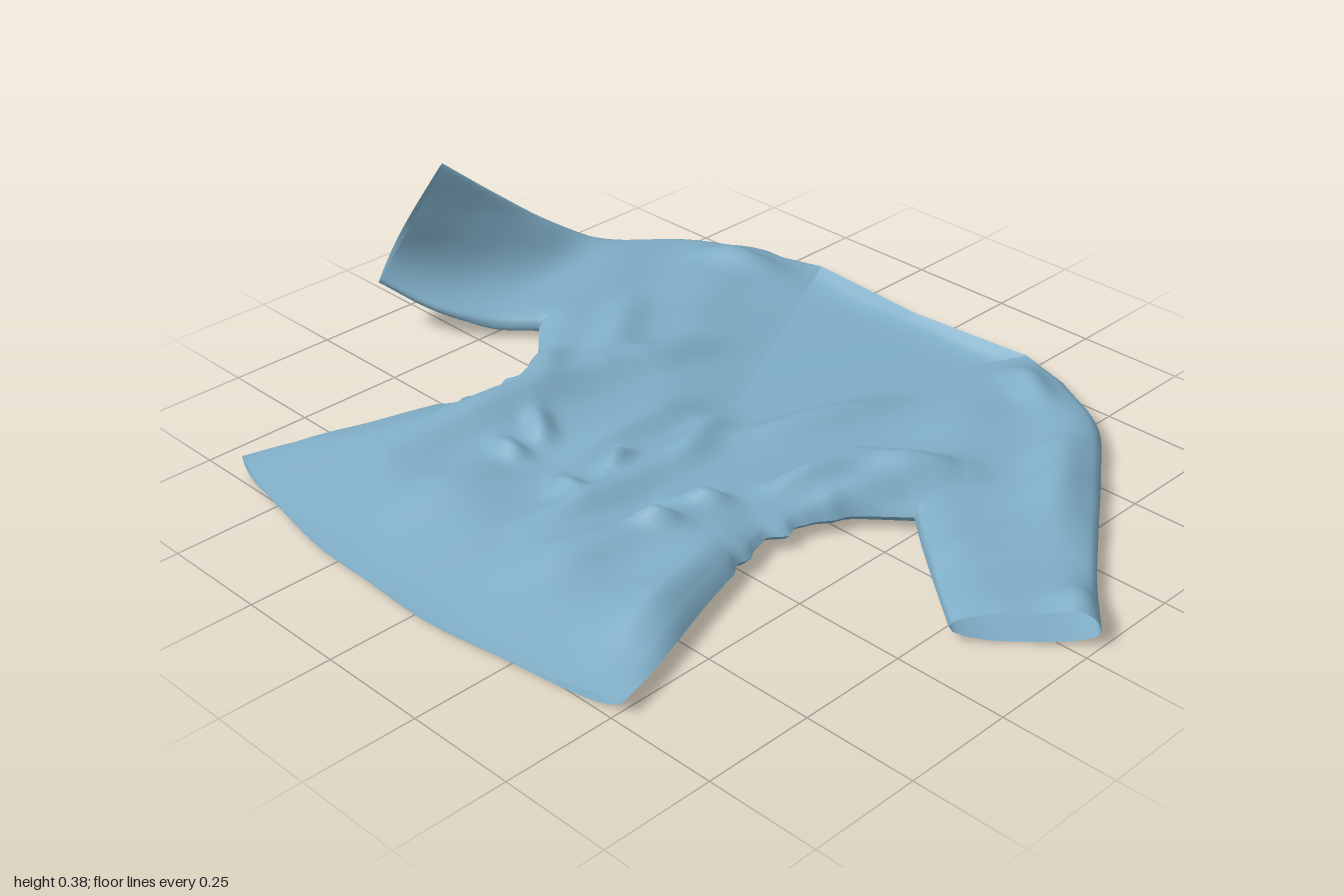
import * as THREE from 'three';
import { mergeGeometries, mergeVertices } from 'three/addons/utils/BufferGeometryUtils.js';

const CENTER = -0.08;   // garment's own centre line
const SEAM_Y = 0.035;   // height at which front and back cloth meet
const { lerp, clamp, smoothstep } = THREE.MathUtils;
const curve = (pts) => new THREE.CatmullRomCurve3(pts.map((p) => new THREE.Vector3(...p)));
const flat = (pts) => curve(pts.map(([x, z]) => [x, 0, z]));

// Half pattern, laid flat, measured from the centre line
const sleeveOuter = flat([[0.45, -0.75], [0.62, -0.65], [0.74, -0.5], [0.86, -0.33], [0.975, -0.17], [1.075, -0.05]]);
const sleeveInner = flat([[0.57, -0.1], [0.65, -0.03], [0.76, 0.06], [0.86, 0.14]]);
const sideSeam = flat([[0.57, -0.1], [0.47, 0], [0.43, 0.1], [0.42, 0.2], [0.455, 0.31],
  [0.49, 0.42], [0.53, 0.53], [0.565, 0.63], [0.59, 0.72]]);
const neckPoint = new THREE.Vector3(0.315, 0, -0.793);
const NECK_BACK_Z = -0.77, NECK_TIP_Z = -0.17;

// The raised sleeve's edges in space
const raisedOuter = curve([[-0.53, SEAM_Y, -0.75], [-0.69, 0.05, -0.64], [-0.8, 0.07, -0.48],
  [-0.87, 0.15, -0.34], [-0.9, 0.26, -0.2], [-0.91, 0.385, -0.05]]);
const raisedInner = curve([[-0.65, SEAM_Y, -0.1], [-0.74, 0.035, -0.02], [-0.84, 0.07, 0.06], [-0.945, 0.13, 0.13]]);

function sidePoint(t) {
  const p = sideSeam.getPoint(t);
  p.x += 0.008 * (Math.sin(p.z * 62) + 0.6 * Math.sin(p.z * 109)) *
    smoothstep(p.z, -0.05, 0.08) * (1 - smoothstep(p.z, 0.22, 0.36));
  return p;
}

// Distance to a segment and the position along it
function toSegment(x, z, x1, z1, x2, z2) {
  const dx = x2 - x1, dz = z2 - z1;
  const t = clamp(((x - x1) * dx + (z - z1) * dz) / (dx * dx + dz * dz), 0, 1);
  return [Math.hypot(x - x1 - t * dx, z - z1 - t * dz), t];
}

// Closed edges, towards which the cloth is rounded
const seams = [];
function addSeam(count, point) {
  for (let i = 0; i < count; i++) {
    const a = point(i / count), b = point((i + 1) / count);
    seams.push([a.x, a.z, b.x, b.z]);
  }
}
addSeam(40, (t) => sleeveOuter.getPoint(t));
addSeam(40, (t) => sleeveInner.getPoint(t));
addSeam(60, sidePoint);
addSeam(1, (t) => neckPoint.clone().lerp(sleeveOuter.getPoint(0), t));
addSeam(1, (t) => new THREE.Vector3(0, 0, NECK_BACK_Z).lerp(neckPoint, t));
function roundness(u, z) {
  let d = 1;
  for (const s of seams) d = Math.min(d, toSegment(u, z, ...s)[0]);
  const radius = 0.08 + 0.05 * Math.exp(-(((z - 0.12) / 0.15) ** 2));   // softer at the waist
  const k = 1 - Math.min(d / radius, 1);
  return Math.sqrt(Math.max(0, 1 - k * k));
}

// Fold ridges: x1, z1, x2, z2, height, width
const folds = [
  [-0.26, -0.36, -0.34, -0.05, 0.03, 0.045], [-0.34, -0.1, -0.42, 0.5, 0.06, 0.065],
  [-0.12, -0.12, -0.14, 0.3, 0.025, 0.04], [-0.05, -0.1, 0.04, 0.12, 0.025, 0.035],
  [0.04, 0.05, 0, 0.5, 0.025, 0.04], [0.17, -0.38, 0.08, -0.05, 0.025, 0.05],
  [0.22, 0.1, 0.12, 0.6, 0.025, 0.05], [0.48, -0.26, 0.28, -0.1, 0.045, 0.045],
  [0.31, -0.16, 0.26, 0.1, 0.045, 0.04], [0.42, -0.14, 0.33, 0.08, 0.035, 0.035],
  [-0.56, -0.32, -0.38, -0.06, 0.025, 0.05], [-0.52, -0.02, -0.38, 0.14, 0.03, 0.04],
  [0.32, 0.25, 0.38, 0.65, 0.025, 0.045], [-0.22, 0.4, -0.24, 0.7, 0.015, 0.05],
  [0.24, -0.72, 0.44, -0.6, 0.03, 0.04], [-0.38, -0.7, -0.6, -0.6, 0.03, 0.04],
  [0.53, -0.54, 0.74, -0.22, 0.02, 0.05], [0.9, -0.1, 1, -0.03, 0.035, 0.06],
  // gathered pinches at the waist
  [-0.31, 0.21, -0.21, 0.27, 0.03, 0.025], [-0.29, 0.34, -0.19, 0.34, 0.03, 0.022],
  [-0.07, 0.17, -0.03, 0.26, 0.03, 0.022], [-0.09, 0.35, -0.01, 0.36, 0.035, 0.025],
  [0.13, 0.23, 0.24, 0.17, 0.03, 0.022], [0.13, 0.35, 0.23, 0.3, 0.03, 0.022],
];
function wrinkle(x, z) {
  let h = 0.004 * Math.sin(x * 23 + 2 * Math.sin(z * 7)) + 0.003 * Math.sin(z * 19 + x * 31 + 2 * Math.sin(x * 11));
  for (const [x1, z1, x2, z2, height, width] of folds) {
    const [d, t] = toSegment(x, z, x1, z1, x2, z2);
    h += height * (0.25 + 0.75 * Math.sin(Math.PI * t)) * Math.exp(-((d / width) ** 2));
  }
  return Math.min(h, 0.065);
}

// Height of the upper or lower cloth above the seam level
function offset(side, u, z, top) {
  const f = roundness(u, z);
  const x = CENTER + side * u;
  if (!top) return -f * (SEAM_Y - 0.007 + 0.004 * Math.sin(x * 17 + z * 9));
  const hem = smoothstep(z, 0.5, 0.82);
  const neck = toSegment(u, z, neckPoint.x, neckPoint.z, 0, NECK_TIP_Z)[0];
  const free = smoothstep(neck, -0.04, 0.2);   // the neckline lies close to the back
  return f * (lerp(lerp(-0.005, 0.03, free), -0.022, hem) + wrinkle(x, z) * free * (1 - 0.75 * hem));
}

// Grid patch: column parameter a, row parameter b
function patch(cols, rows, point, flip) {
  const pos = [], index = [];
  for (let j = 0; j <= rows; j++)
    for (let i = 0; i <= cols; i++) pos.push(...point(i / cols, j / rows).toArray());
  for (let j = 0; j < rows; j++)
    for (let i = 0; i < cols; i++) {
      const a = j * (cols + 1) + i, b = a + 1, c = a + cols + 1, d = c + 1;
      index.push(...(flip ? [a, b, c, b, d, c] : [a, c, b, b, c, d]));
    }
  const g = new THREE.BufferGeometry();
  g.setAttribute('position', new THREE.Float32BufferAttribute(pos, 3));
  g.setIndex(index);
  return g;
}

// Half of the front (with V neck) or of the back
const SPLIT = 0.4;   // share of the rows above the armpit
function torsoHalf(side, top) {
  const shoulder = sleeveOuter.getPoint(0), armpit = sleeveInner.getPoint(0);
  const neckShare = neckPoint.x / shoulder.x;
  return patch(40, 100, (s, v) => {
    const upper = Math.min(v / SPLIT, 1), lower = Math.max((v - SPLIT) / (1 - SPLIT), 0);
    const outer = v <= SPLIT ? shoulder.clone().lerp(armpit, upper) : sidePoint(lower);
    const inner = new THREE.Vector3(0, 0, lerp(lerp(top ? neckPoint.z : NECK_BACK_Z, NECK_TIP_Z, upper), 0.8, lower));
    if (top) inner.x = neckPoint.x * (1 - upper);
    const p = inner.lerp(outer, s);
    p.z += 0.08 * (s - s * s) * v ** 4;
    if (!top) {   // back neckline runs up to the neck point, then along the shoulder
      const edge = s < neckShare ? lerp(NECK_BACK_Z, neckPoint.z, s / neckShare)
        : lerp(neckPoint.z, shoulder.z, (s - neckShare) / (1 - neckShare));
      p.z += (edge - lerp(NECK_BACK_Z, shoulder.z, s)) * (1 - upper) ** 3;
    }
    return new THREE.Vector3(CENTER + side * p.x, SEAM_Y + offset(side, p.x, p.z, top), p.z);
  }, (side > 0) !== top);
}

// One cloth layer of a sleeve; the right one is lifted off the ground
function sleeveLayer(side, top) {
  const up = new THREE.Vector3(0, 1, 0), turned = new THREE.Vector3(0.8, 0.29, 0.53);
  return patch(40, 40, (t, s) => {
    const p = sleeveOuter.getPoint(t).lerp(sleeveInner.getPoint(t), s);
    const h = offset(side, p.x, p.z, top);
    if (side > 0) return new THREE.Vector3(CENTER + p.x, SEAM_Y + h, p.z);
    const k = smoothstep(t, 0.15, 0.9);
    const n = up.clone().lerp(turned, k).normalize();
    const q = raisedOuter.getPoint(t).lerp(raisedInner.getPoint(t), s);
    q.addScaledVector(n, h - (top ? 0.015 : 0.045) * k * Math.sin(Math.PI * s ** 1.5));
    q.y = Math.max(q.y, 0.004);
    return q;
  }, (side > 0) !== top);
}

export function createModel() {
  const group = new THREE.Group();
  group.name = 'blouse';
  const cloth = new THREE.MeshStandardMaterial({ color: 0x7fadc6, side: THREE.DoubleSide });
  const add = (name, parts) => {
    const geometry = mergeVertices(mergeGeometries(parts), 1e-4);
    geometry.computeVertexNormals();
    const mesh = new THREE.Mesh(geometry, cloth);
    mesh.name = name;
    group.add(mesh);
  };
  add('frontPanel', [torsoHalf(1, true), torsoHalf(-1, true)]);
  add('backPanel', [torsoHalf(1, false), torsoHalf(-1, false)]);
  add('leftSleeve', [sleeveLayer(1, true), sleeveLayer(1, false)]);
  add('rightSleeve', [sleeveLayer(-1, true), sleeveLayer(-1, false)]);
  return group;
}
